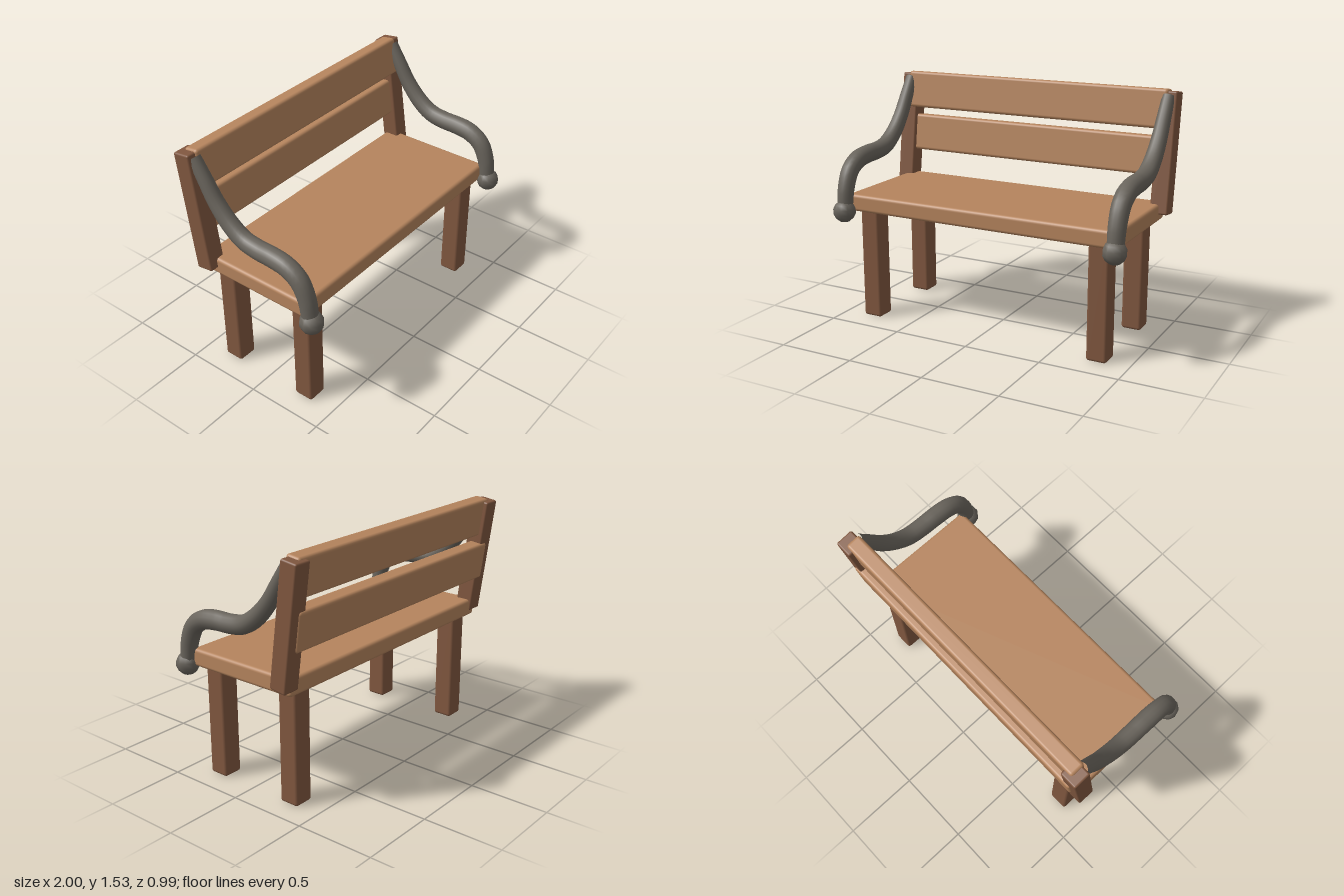
import * as THREE from 'three';
import { RoundedBoxGeometry } from 'three/addons/geometries/RoundedBoxGeometry.js';

const paleWood = new THREE.MeshStandardMaterial({ name: 'pale wood', color: 0xb5845d });
const darkWood = new THREE.MeshStandardMaterial({ name: 'dark wood', color: 0x80573f });
const iron = new THREE.MeshStandardMaterial({ name: 'grey iron', color: 0x69645c });

const TILT = -0.133; // backrest lean

function add(parent, name, geometry, material, x, y, z, tilt = 0) {
  const mesh = new THREE.Mesh(geometry, material);
  mesh.name = name;
  mesh.position.set(x, y, z);
  mesh.rotation.x = tilt;
  parent.add(mesh);
  return mesh;
}

const beam = (w, h, d, r = 0.018) => new RoundedBoxGeometry(w, h, d, 3, r);

// Tube along a curve whose radius follows a list of evenly spaced values
function taperedTube(curve, radii, segments, sides) {
  const geometry = new THREE.TubeGeometry(curve, segments, 1, sides);
  const position = geometry.attributes.position;
  const v = new THREE.Vector3();
  for (let i = 0; i <= segments; i++) {
    const centre = curve.getPointAt(i / segments);
    const f = (i / segments) * (radii.length - 1);
    const k = Math.min(Math.floor(f), radii.length - 2);
    const radius = THREE.MathUtils.lerp(radii[k], radii[k + 1], f - k);
    for (let j = 0; j <= sides; j++) {
      const n = i * (sides + 1) + j;
      v.fromBufferAttribute(position, n).sub(centre).multiplyScalar(radius).add(centre);
      position.setXYZ(n, v.x, v.y, v.z);
    }
  }
  geometry.computeBoundingSphere();
  return geometry;
}

export function createModel() {
  const bench = new THREE.Group();
  bench.name = 'bench';

  // Seat board and two leaning back slats
  add(bench, 'seat', beam(1.86, 0.112, 0.775, 0.022), paleWood, 0, 0.772, -0.003);
  add(bench, 'upperBackSlat', beam(1.86, 0.245, 0.1, 0.02), paleWood, 0, 1.405, -0.405, TILT);
  add(bench, 'lowerBackSlat', beam(1.86, 0.245, 0.1, 0.02), paleWood, 0, 1.11, -0.405, TILT);

  // Armrest path in the y-z plane, from the front knob up to the back post
  const armPath = new THREE.CatmullRomCurve3([
    [0.745, 0.42], [0.87, 0.4], [0.975, 0.35], [1.03, 0.265], [1.047, 0.16], [1.05, 0.06],
    [1.07, -0.05], [1.135, -0.15], [1.24, -0.245], [1.37, -0.325], [1.485, -0.395],
  ].map(([y, z]) => new THREE.Vector3(0, y, z)));
  const armGeometry = taperedTube(armPath, [0.05, 0.056, 0.06, 0.058, 0.053, 0.047, 0.04], 40, 14);
  const legGeometry = beam(0.13, 0.74, 0.13);
  const postGeometry = beam(0.115, 0.76, 0.115, 0.012);
  const knobGeometry = new THREE.SphereGeometry(0.073, 10, 7);

  for (const side of [-1, 1]) {
    const label = side > 0 ? 'left' : 'right';
    add(bench, label + 'FrontLeg', legGeometry, darkWood, side * 0.795, 0.37, 0.282);
    add(bench, label + 'BackLeg', legGeometry, darkWood, side * 0.795, 0.37, -0.295);
    add(bench, label + 'BackPost', postGeometry, darkWood, side * 0.928, 1.135, -0.39, TILT);
    add(bench, label + 'Armrest', armGeometry, iron, side * 0.927, 0, 0);
    add(bench, label + 'ArmKnob', knobGeometry, iron, side * 0.927, 0.723, 0.428);
  }
  return bench;
}
